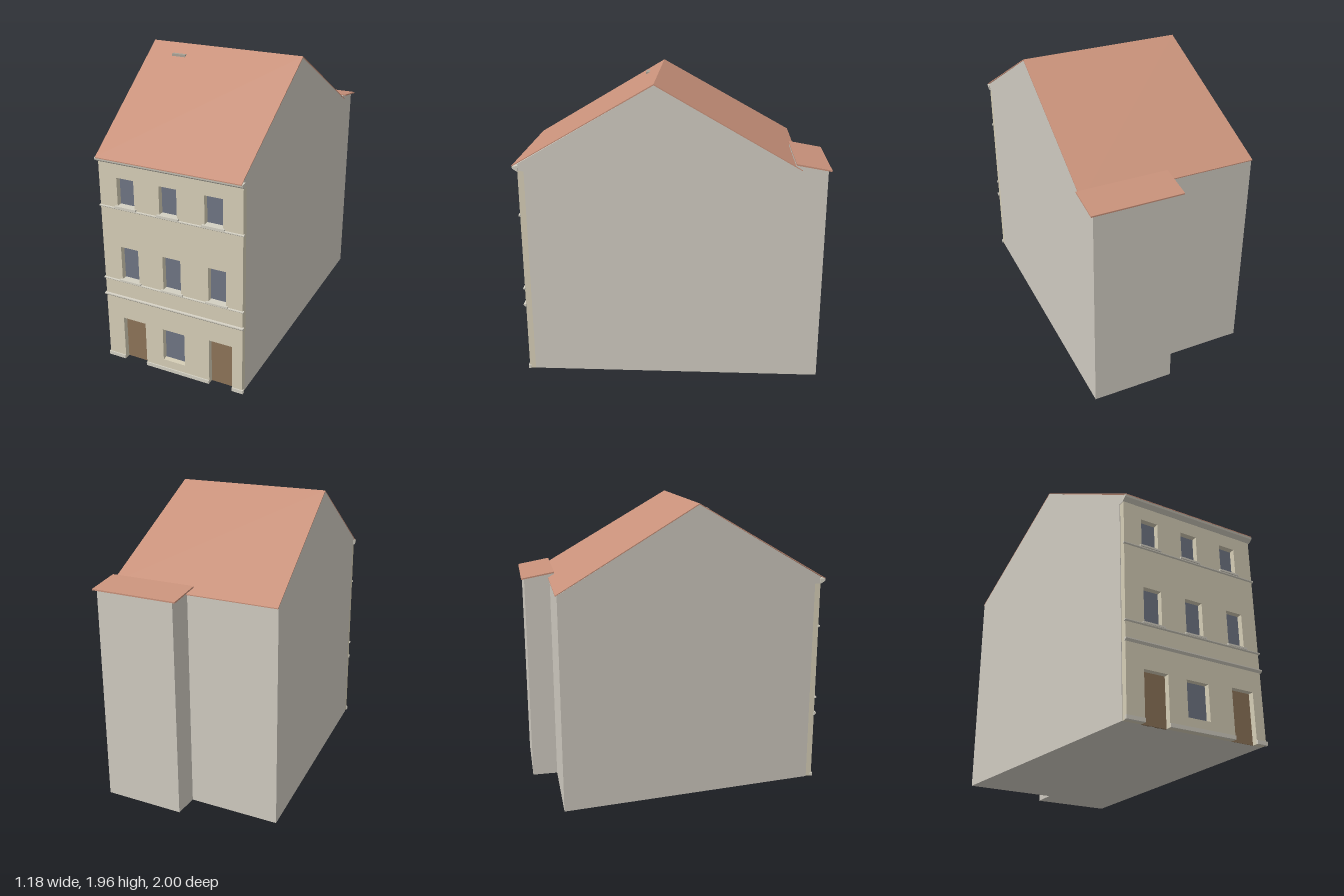
import * as THREE from 'three';

const RIGHT = 0.565, FRONT = 0.965, RECESS = 0.925;
const material = (color) => new THREE.MeshStandardMaterial({ color, flatShading: true });

// the left party wall runs at a slant
const slantLeft = (z) => -0.41 - 0.1014 * (FRONT - z);

// prism across x from a [z, y] profile; the left end may depend on z
function prism(profile, left, right) {
  const shape = new THREE.Shape(profile.map(([z, y]) => new THREE.Vector2(-z, y)));
  const geo = new THREE.ExtrudeGeometry(shape, { depth: 1, bevelEnabled: false });
  geo.rotateY(Math.PI / 2);
  const p = geo.attributes.position;
  for (let i = 0; i < p.count; i++) {
    const l = typeof left === 'function' ? left(p.getZ(i)) : left;
    p.setX(i, l + (right - l) * p.getX(i));
  }
  geo.computeVertexNormals();
  return geo;
}

const rectPath = ([x0, x1, y0, y1]) => new THREE.Path(
  [[x0, y0], [x0, y1], [x1, y1], [x1, y0]].map(([x, y]) => new THREE.Vector2(x, y)));

export function createModel() {
  const house = new THREE.Group();
  house.name = 'townHouse';
  const wall = material(0xcfcac0), plaster = material(0xd5cdb6), trim = material(0xd3cfc2);
  const tile = material(0xc8917a), glass = material(0x6e7483), wood = material(0x8c7358);
  const metal = material(0xaaa296);

  const add = (name, geo, mat, parent = house) => {
    const mesh = new THREE.Mesh(geo, mat);
    mesh.name = name;
    parent.add(mesh);
    return mesh;
  };
  const box = (name, x0, x1, y0, y1, z0, z1, mat) => {
    const mesh = add(name, new THREE.BoxGeometry(x1 - x0, y1 - y0, z1 - z0), mat);
    mesh.position.set((x0 + x1) / 2, (y0 + y1) / 2, (z0 + z1) / 2);
  };

  // main body with gables, and the rear annex
  add('mainWalls', prism([
    [RECESS, 0], [RECESS, 1.4], [FRONT, 1.4], [FRONT, 1.446], [0.1, 1.95],
    [-0.81, 1.431], [-0.81, 0]], slantLeft, RIGHT), wall);
  add('annexWalls', prism([
    [-0.81, 0], [-0.81, 1.431], [-0.78, 1.448], [-0.78, 1.468],
    [-0.98, 1.432], [-0.98, 0]], 0.02, RIGHT), wall);

  // roofs as thin slabs
  add('mainRoof', prism([
    [1, 1.43], [1, 1.436], [0.1, 1.957], [-0.82, 1.432], [-0.82, 1.426], [0.1, 1.949]],
  slantLeft, RIGHT + 0.002), tile);
  add('annexRoof', prism([
    [-0.78, 1.466], [-0.78, 1.476], [-1, 1.437], [-1, 1.428]], -0.01, 0.585), tile);
  box('roofVent', -0.305, -0.21, 1.89, 1.907, 0.188, 0.213, metal);

  // openings as [x0, x1, y0, y1]
  const doors = [[-0.29, -0.125, 0, 0.315], [0.335, 0.495, 0, 0.325]];
  const floors = [
    { y: [0.605, 0.84], xs: [[-0.28, -0.155], [0.02, 0.145], [0.335, 0.455]] },
    { y: [1.12, 1.31], xs: [[-0.285, -0.165], [0.01, 0.13], [0.315, 0.435]] },
  ];
  const upper = floors.flatMap(({ y, xs }) => xs.map((x) => [...x, ...y]));
  const windows = [[0.003, 0.16, 0.08, 0.31], ...upper];

  // front wall: outline notched by the doors, holes for the windows
  const outline = [[-0.41, 0]];
  for (const [x0, x1, y0, y1] of doors) outline.push([x0, y0], [x0, y1], [x1, y1], [x1, y0]);
  outline.push([RIGHT, 0], [RIGHT, 1.4], [-0.41, 1.4]);
  const front = new THREE.Shape(outline.map(([x, y]) => new THREE.Vector2(x, y)));
  front.holes = windows.map(rectPath);
  const frontGeo = new THREE.ExtrudeGeometry(front, { depth: FRONT - RECESS, bevelEnabled: false });
  add('frontWall', frontGeo.translate(0, 0, RECESS), plaster);

  // panes, door leaves and sills
  for (const w of windows) box('windowPane', ...w, RECESS - 0.01, RECESS + 0.003, glass);
  for (const d of doors) box('door', ...d, RECESS - 0.01, RECESS + 0.003, wood);
  for (const [x0, x1, y0] of upper) {
    box('windowSill', x0 - 0.014, x1 + 0.014, y0 - 0.008, y0 + 0.004, RECESS, 0.98, trim);
  }

  // horizontal mouldings across the front
  const bands = {
    cornice: [[0.96, 1.4], [0.968, 1.4], [0.995, 1.418], [0.998, 1.432], [0.96, 1.436]],
    upperBand: [[0.96, 1.1], [0.97, 1.1], [0.975, 1.104], [0.975, 1.11], [0.96, 1.112]],
    middleBand: [[0.96, 0.588], [0.97, 0.588], [0.976, 0.593], [0.976, 0.598], [0.96, 0.6]],
    lowerBand: [[0.96, 0.463], [0.967, 0.463], [0.98, 0.475], [0.98, 0.482], [0.96, 0.484]],
  };
  for (const [name, profile] of Object.entries(bands)) {
    add(name, prism([...profile].reverse(), -0.416, 0.573), trim);
  }

  // plinth, broken at the doors
  for (const [x0, x1] of [[-0.416, -0.29], [-0.125, 0.335], [0.495, 0.573]]) {
    box('plinth', x0, x1, 0, 0.024, 0.955, 0.973, trim);
  }
  return house;
}
